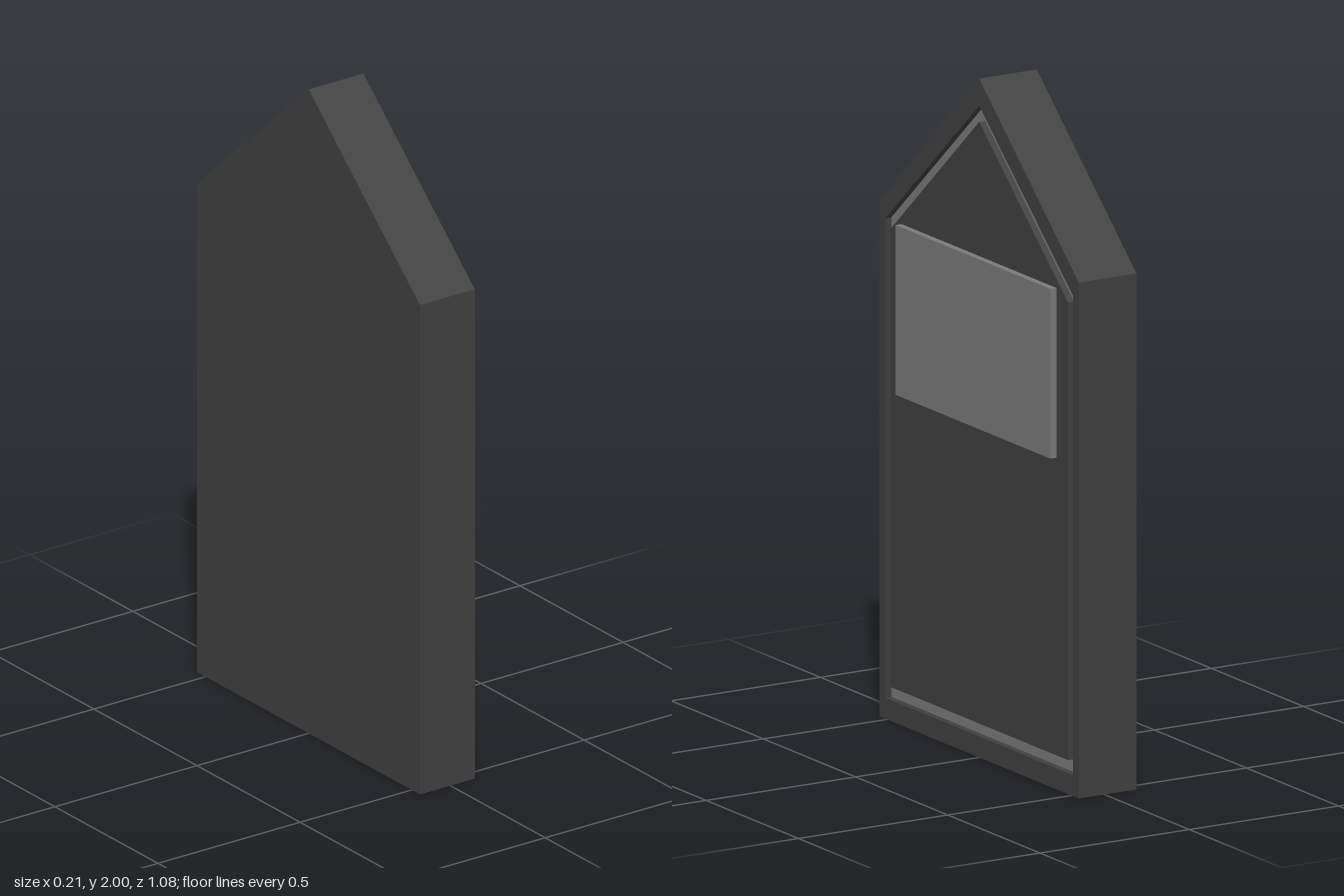
import * as THREE from 'three';

const BACK = -0.107, FACE = 0.086, GROOVE = 0.022;

// House-shaped outline: half width, bottom, shoulder and apex heights
const OUTER = [0.54, 0, 1.52, 2];
const GROOVE_OUT = [0.508, 0.062, 1.475, 1.92];
const GROOVE_IN = [0.482, 0.1, 1.448, 1.872];

function outline([w, bottom, shoulder, apex], Type = THREE.Shape) {
  return new Type([[-w, bottom], [w, bottom], [w, shoulder], [0, apex], [-w, shoulder]]
    .map(([x, y]) => new THREE.Vector2(x, y)));
}

// Extrudes a shape along x between two positions
function slab(name, shape, x0, x1, material) {
  const geometry = new THREE.ExtrudeGeometry(shape, { depth: x1 - x0, bevelEnabled: false });
  geometry.rotateY(Math.PI / 2).translate(x0, 0, 0);
  const mesh = new THREE.Mesh(geometry, material);
  mesh.name = name;
  return mesh;
}

export function createModel() {
  const group = new THREE.Group();
  group.name = 'pointedPanel';
  const dark = new THREE.MeshStandardMaterial({ color: 0x404040 });
  const light = new THREE.MeshStandardMaterial({ color: 0x7a7a7a });
  const floor = FACE - GROOVE;

  // Body behind the groove
  group.add(slab('body', outline(OUTER), BACK, floor, dark));

  // Raised rim around the groove
  const rim = outline(OUTER);
  rim.holes.push(outline(GROOVE_OUT, THREE.Path));
  group.add(slab('rim', rim, floor, FACE, dark));

  // Raised field inside the groove
  group.add(slab('field', outline(GROOVE_IN), floor, FACE, dark));

  // Light inlay lining the groove floor
  const inlay = outline(GROOVE_OUT);
  inlay.holes.push(outline(GROOVE_IN, THREE.Path));
  group.add(slab('grooveInlay', inlay, floor, floor + 0.002, light));

  // Rectangular plate standing proud of the face
  const plate = new THREE.Mesh(new THREE.BoxGeometry(0.041, 0.5, 0.84), light);
  plate.name = 'plate';
  plate.position.set(FACE, 1.227, 0);
  group.add(plate);

  return group;
}
